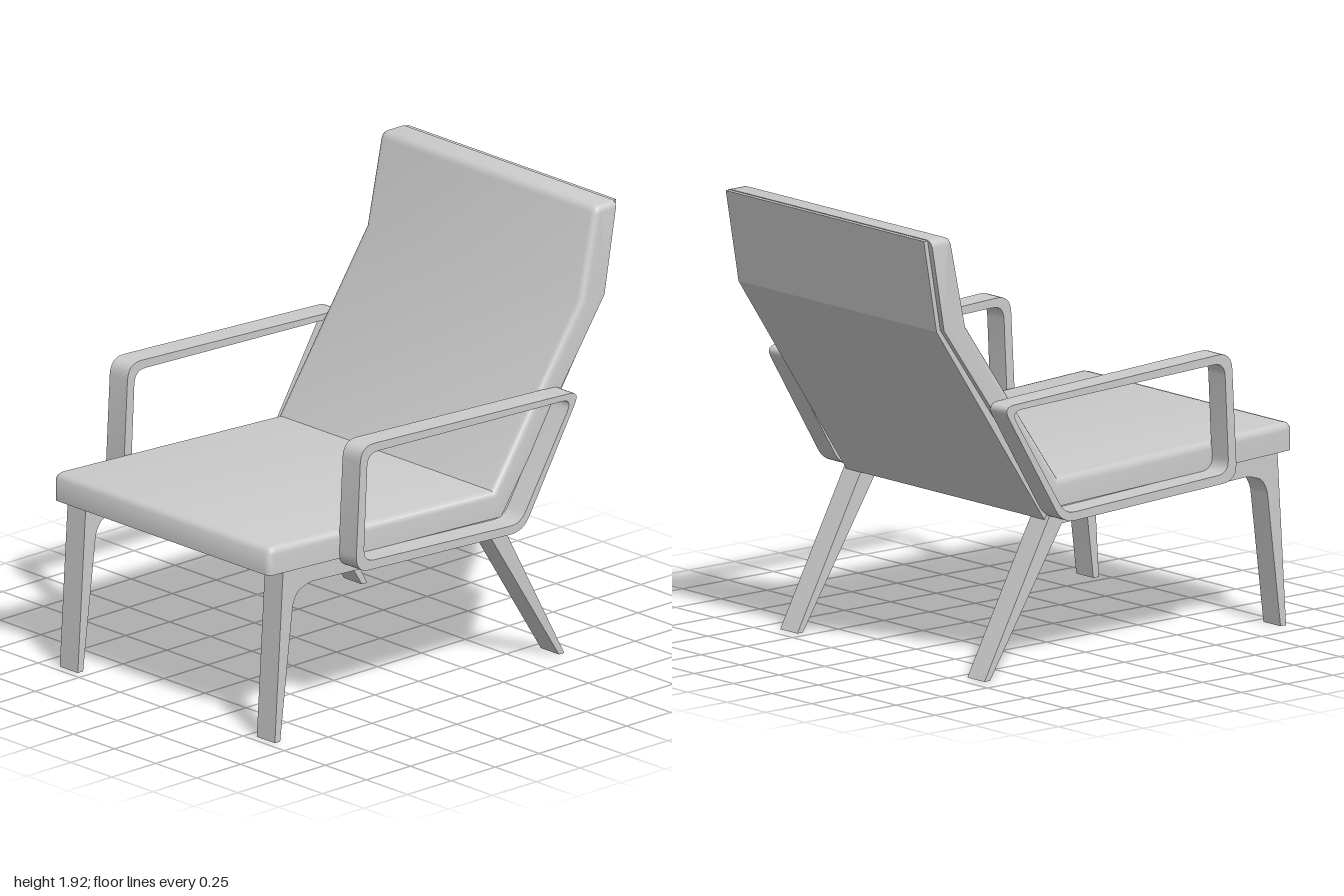
import * as THREE from 'three';
import { toCreasedNormals } from 'three/addons/utils/BufferGeometryUtils.js';

const material = new THREE.MeshStandardMaterial({ color: 0xcccccc });

function addMesh(parent, name, geometry, crease = 0.7) {
  const mesh = new THREE.Mesh(toCreasedNormals(geometry, crease), material);
  mesh.name = name;
  parent.add(mesh);
  return mesh;
}

// Polygon path whose corners [x, y, radius] are rounded
function roundedPath(corners, path) {
  const pts = corners.map(([x, y]) => new THREE.Vector2(x, y));
  const n = pts.length;
  corners.forEach(([, , r = 0], i) => {
    const p = pts[i];
    const toward = (q) => p.clone().add(q.clone().sub(p).setLength(r));
    const a = r ? toward(pts[(i + n - 1) % n]) : p;
    if (i === 0) path.moveTo(a.x, a.y);
    else path.lineTo(a.x, a.y);
    if (r) {
      const b = toward(pts[(i + 1) % n]);
      path.quadraticCurveTo(p.x, p.y, b.x, b.y);
    }
  });
  path.closePath();
  return path;
}

// Side profile extruded across z from z0 to z1
function slab(corners, z0, z1, hole) {
  const shape = roundedPath(corners, new THREE.Shape());
  if (hole) shape.holes.push(roundedPath(hole, new THREE.Path()));
  const geometry = new THREE.ExtrudeGeometry(shape, {
    depth: z1 - z0, bevelEnabled: false, curveSegments: 6,
  });
  return geometry.translate(0, 0, z0);
}

// Cushion: profile points [x, y, inset x, inset y], lofted over z with soft side edges
function cushionGeometry(half, radius) {
  const profile = [
    [-1, 0.745, 1, 0], [0.32, 0.69, 0, 0], [0.91, 1.53, 0, 0],
    [0.98, 1.925, -0.18, -1], [0.89, 1.925, 0.2, -1], [0.87, 1.917, 0.6, -0.8],
    [0.858, 1.895, 1, -0.25], [0.78, 1.53, 0.92, -0.4], [0.28, 0.81, 0.51, -1.02],
    [-0.96, 0.866, 0.05, -1], [-0.985, 0.86, 0.5, -0.9], [-1, 0.84, 1, -0.3],
  ];
  const layers = [];
  const steps = 4;
  for (let i = 0; i <= steps; i++) {
    const a = (i / steps) * Math.PI / 2;
    layers.push([half - radius + radius * Math.sin(a), radius * (1 - Math.cos(a))]);
  }
  const rings = [...layers.map(([z, d]) => [-z, d]).reverse(), ...layers];
  const n = profile.length;
  const positions = [];
  const index = [];
  for (const [z, d] of rings) {
    for (const [x, y, dx, dy] of profile) positions.push(x + dx * d, y + dy * d, z);
  }
  for (let r = 0; r < rings.length - 1; r++) {
    for (let i = 0; i < n; i++) {
      const a = r * n + i, b = r * n + (i + 1) % n;
      index.push(a, b, b + n, a, b + n, a + n);
    }
  }
  // End caps
  const outline = profile.map(([x, y]) => new THREE.Vector2(x, y));
  const last = (rings.length - 1) * n;
  for (const [a, b, c] of THREE.ShapeUtils.triangulateShape(outline, [])) {
    index.push(last + a, last + b, last + c, c, b, a);
  }
  const geometry = new THREE.BufferGeometry();
  geometry.setAttribute('position', new THREE.Float32BufferAttribute(positions, 3));
  geometry.setIndex(index);
  return geometry;
}

export function createModel() {
  const chair = new THREE.Group();
  chair.name = 'loungeChair';

  // Upholstered seat and back in one piece
  addMesh(chair, 'cushion', cushionGeometry(0.66, 0.03), 0.8);

  // Thin shell under the seat and behind the back
  addMesh(chair, 'backShell', slab([
    [-0.86, 0.74], [-0.8, 0.69], [0.34, 0.638], [0.93, 1.525], [1, 1.922],
    [0.978, 1.922], [0.908, 1.53], [0.32, 0.695],
  ], -0.635, 0.635), 0.3);

  for (const side of [1, -1]) {
    const name = side > 0 ? 'left' : 'right';
    const span = (a, b) => (side > 0 ? [a, b] : [-b, -a]);

    // Side rail with front and rear legs
    addMesh(chair, name + 'LegFrame', slab([
      [-0.918, 0.748], [-0.965, 0], [-0.935, 0], [-0.862, 0.59, 0.02],
      [-0.835, 0.64, 0.02], [-0.765, 0.665, 0.03], [0.262, 0.615], [0.655, 0],
      [0.685, 0], [0.335, 0.645], [0.31, 0.7],
    ], ...span(0.545, 0.655)));

    // Closed armrest loop
    addMesh(chair, name + 'Armrest', slab(
      [[-0.605, 0.69, 0.075], [0.35, 0.645, 0.07], [0.675, 1.187, 0.06], [-0.575, 1.243, 0.075]],
      ...span(0.655, 0.763),
      [[-0.56, 0.728, 0.06], [0.335, 0.683, 0.055], [0.632, 1.163, 0.06], [-0.537, 1.203, 0.06]],
    ));
  }
  return chair;
}
